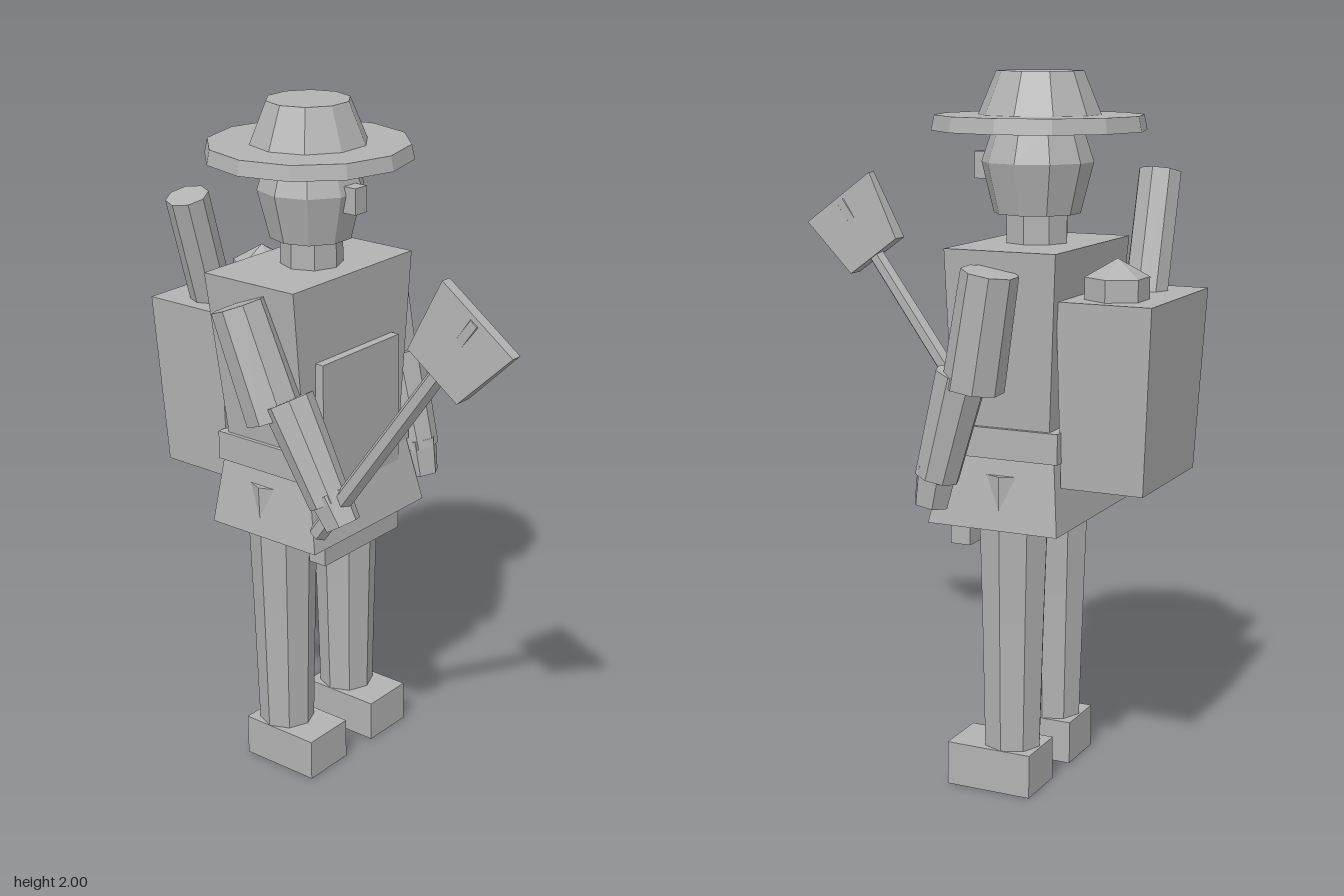
import * as THREE from 'three';

export function createModel() {
  const model = new THREE.Group();
  model.name = 'traveller';
  const grey = new THREE.MeshStandardMaterial({ color: 0xb2b2b2, flatShading: true });
  grey.name = 'plain grey';

  const add = (name, geometry, x = 0, y = 0, z = 0) => {
    const mesh = new THREE.Mesh(geometry, grey);
    mesh.name = name;
    mesh.position.set(x, y, z);
    model.add(mesh);
    return mesh;
  };

  // Upright faceted frustum with a corner on the +x axis
  const drum = (name, rBottom, rTop, y0, y1, sides, x = 0, z = -0.24) => {
    const g = new THREE.CylinderGeometry(rTop, rBottom, y1 - y0, sides);
    g.rotateY(Math.PI / 2);
    return add(name, g, x, (y0 + y1) / 2, z);
  };

  // Faceted limb running from point a to point b
  const limb = (name, a, b, rA, rB, sides = 8) => {
    const from = new THREE.Vector3(...a), to = new THREE.Vector3(...b);
    const dir = to.clone().sub(from);
    const mid = from.clone().add(to).multiplyScalar(0.5);
    const mesh = add(name, new THREE.CylinderGeometry(rB, rA, dir.length(), sides), mid.x, mid.y, mid.z);
    mesh.quaternion.setFromUnitVectors(new THREE.Vector3(0, 1, 0), dir.normalize());
    return mesh;
  };

  // Box from y0 to y1 whose ends are [half width, back z, front z]
  const block = (name, y0, y1, bottom, top, x = 0) => {
    const g = new THREE.BoxGeometry(2, 1, 2);
    const p = g.attributes.position;
    for (let i = 0; i < p.count; i++) {
      const up = p.getY(i) > 0;
      const [w, back, front] = up ? top : bottom;
      p.setXYZ(i, p.getX(i) * w, up ? y1 : y0, p.getZ(i) > 0 ? front : back);
    }
    g.computeVertexNormals();
    return add(name, g, x);
  };

  // Hat
  drum('hatBrim', 0.297, 0.288, 1.84, 1.882, 12);
  drum('hatCrown', 0.17, 0.12, 1.88, 2.0, 10);

  // Head and neck
  drum('upperHead', 0.155, 0.12, 1.755, 1.86, 10, 0, -0.235);
  drum('lowerHead', 0.12, 0.155, 1.615, 1.755, 10, 0, -0.235);
  block('nose', 1.705, 1.78, [0.025, -0.12, -0.055], [0.025, -0.12, -0.055]);
  drum('neck', 0.09, 0.09, 1.5, 1.63, 8, 0, -0.235);

  // Clothing
  block('torso', 1.0, 1.535, [0.215, -0.37, -0.085], [0.265, -0.405, -0.08]);
  block('belt', 0.965, 1.05, [0.232, -0.402, -0.062], [0.232, -0.402, -0.062]);
  block('tunicSkirt', 0.77, 0.965, [0.255, -0.412, -0.025], [0.225, -0.39, -0.065]);
  block('apron', 0.695, 1.31, [0.173, -0.115, -0.055], [0.173, -0.115, -0.055]);

  // Legs and feet
  for (const [side, s] of [['left', 1], ['right', -1]]) {
    const x = s * 0.145;
    drum(side + 'Thigh', 0.092, 0.105, 0.5, 0.92, 8, x, -0.237);
    drum(side + 'Shin', 0.082, 0.092, 0.1, 0.5, 8, x, -0.237);
    block(side + 'Foot', 0, 0.125, [0.083, -0.325, -0.072], [0.083, -0.325, -0.072], x);
  }

  // Left arm hangs down
  limb('leftUpperArm', [0.31, 1.485, -0.238], [0.3, 1.17, -0.185], 0.078, 0.085);
  limb('leftForearm', [0.3, 1.205, -0.152], [0.297, 0.915, -0.075], 0.074, 0.063);
  limb('leftHand', [0.295, 0.945, -0.075], [0.295, 0.835, -0.055], 0.06, 0.05, 6);

  // Right arm reaches forward
  limb('rightUpperArm', [-0.31, 1.485, -0.24], [-0.3, 1.18, -0.12], 0.078, 0.085);
  limb('rightForearm', [-0.3, 1.24, -0.075], [-0.298, 0.975, 0.07], 0.074, 0.06);
  limb('rightHand', [-0.297, 1.0, 0.065], [-0.297, 0.92, 0.115], 0.06, 0.052, 6);

  // Hand tool with a flared blade
  limb('toolHandle', [-0.297, 0.87, 0.025], [-0.297, 1.595, 0.55], 0.028, 0.024, 6);
  const blade = block('toolBlade', -0.108, 0.108, [0.028, -0.097, 0.097], [0.016, -0.135, 0.135]);
  blade.position.set(-0.297, 1.519, 0.494);
  blade.rotation.x = 0.634;

  // Backpack with bedroll and flask
  block('backpack', 0.895, 1.405, [0.2, -0.635, -0.4], [0.223, -0.658, -0.39]);
  limb('bedroll', [-0.09, 1.3, -0.515], [-0.207, 1.725, -0.515], 0.062, 0.062);
  drum('flaskBody', 0.088, 0.088, 1.38, 1.465, 6, 0.103, -0.515);
  drum('flaskCap', 0.088, 0, 1.465, 1.515, 6, 0.103, -0.515);

  return model;
}
